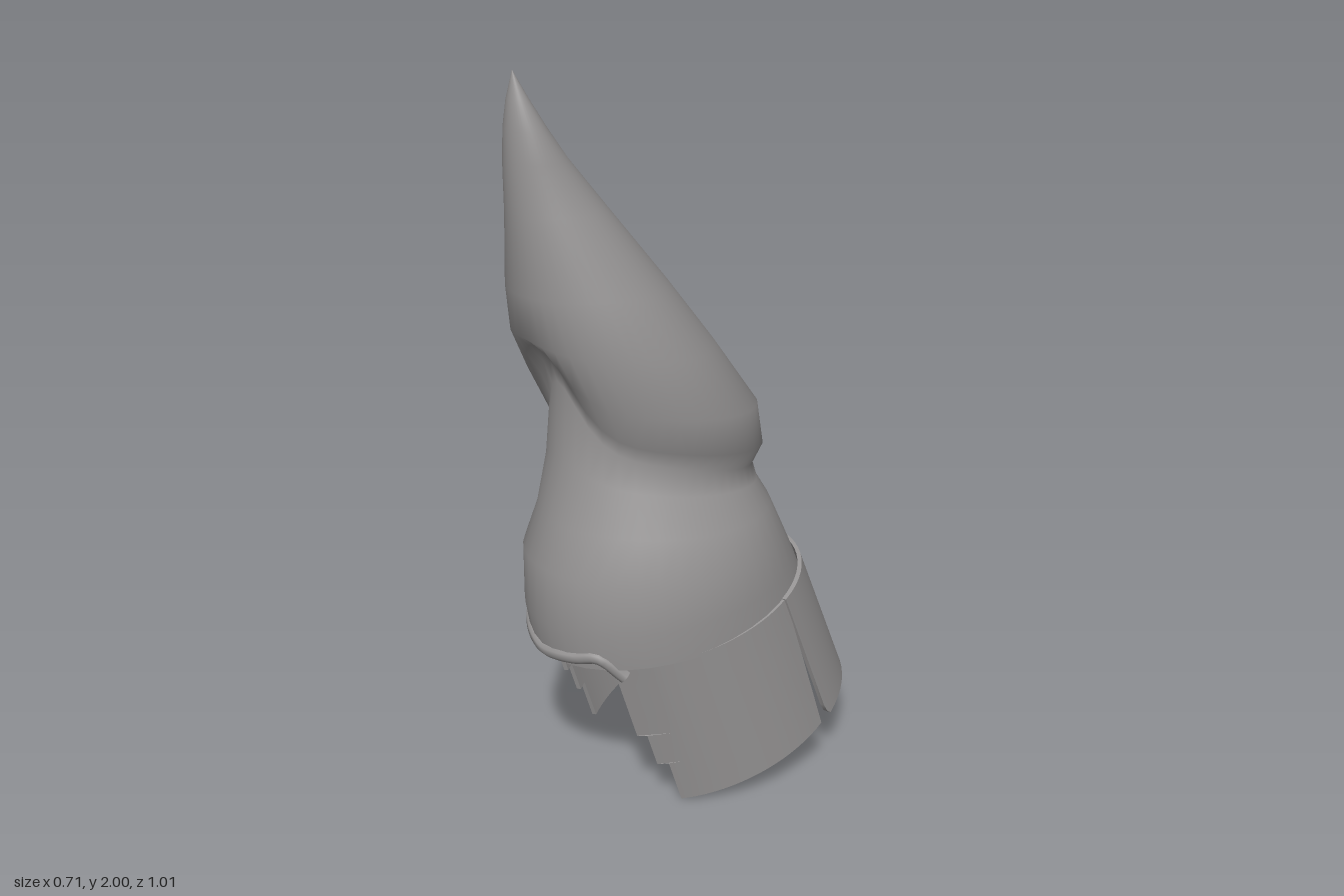
import * as THREE from 'three';
import { toCreasedNormals } from 'three/addons/utils/BufferGeometryUtils.js';

const RAD = Math.PI / 180;
const lerp = THREE.MathUtils.lerp;

// Skin a stack of closed loops, listed from bottom to top
function loft(loops) {
  const n = loops[0].length;
  const pos = loops.flat().flatMap((p) => [p.x, p.y, p.z]);
  const index = [];
  for (let r = 0; r < loops.length - 1; r++) {
    for (let i = 0; i < n; i++) {
      const j = (i + 1) % n;
      const a = r * n + i, b = r * n + j, c = b + n, d = a + n;
      index.push(a, b, c, a, c, d);
    }
  }
  const geo = new THREE.BufferGeometry();
  geo.setAttribute('position', new THREE.Float32BufferAttribute(pos, 3));
  geo.setIndex(index);
  geo.computeVertexNormals();
  return geo;
}

// Point on a tilted oval; angle 0 is the front, growing toward +x.
// ring = [front y, front z, back y, back z, half width, front peak, sideways shift]
function ovalPoint([yf, zf, yb, zb, w, peak = 0, shift = 0], a, grow = 0) {
  const c = Math.cos(a), t = (1 - c) / 2;
  return new THREE.Vector3(
    (w + grow) * Math.sin(a) + shift,
    lerp(yf, yb, t) + peak * Math.max(0, c) ** 8,
    lerp(zf, zb, t) + grow * c
  );
}

// Hood: bulging crown, pinched neck, then a folded cone leaning forward
const HOOD = [
  [0.435, 0.448, 0.56, -0.345, 0.338],
  [0.54, 0.465, 0.63, -0.315, 0.338],
  [0.70, 0.463, 0.70, -0.28, 0.332],
  [0.82, 0.42, 0.79, -0.24, 0.295],
  [0.95, 0.395, 0.85, -0.205, 0.25, 0.05],
  [1.04, 0.38, 0.885, -0.20, 0.226, 0.16, -0.005],
  [1.08, 0.395, 0.945, -0.23, 0.265, 0.18, -0.015],
  [1.17, 0.43, 1.07, -0.208, 0.288, 0.13, -0.022],
  [1.31, 0.472, 1.26, -0.07, 0.262, 0.02, -0.018],
  [1.45, 0.492, 1.44, 0.07, 0.21, 0, -0.01],
  [1.65, 0.503, 1.65, 0.24, 0.118],
  [1.78, 0.505, 1.78, 0.345, 0.085],
  [1.86, 0.502, 1.86, 0.40, 0.064],
  [1.93, 0.495, 1.93, 0.442, 0.034],
  [2.0, 0.48, 2.0, 0.48, 0.0],
];

// Band below the hood, given by its top and bottom ovals
const BAND_TOP = [0.43, 0.42, 0.6, -0.335, 0.337, 0, 0];
const BAND_BOTTOM = [-0.035, 0.28, 0.21, -0.495, 0.35, 0, -0.005];

function bandPoint(v, a, grow) {
  return ovalPoint(BAND_TOP.map((t, i) => lerp(t, BAND_BOTTOM[i], v)), a, grow);
}

// Thin curved plate of the band; columns(v, row) gives its angles in degrees
function bandPlate(rows, columns, outer, thickness = 0.012) {
  const loops = rows.map((v, r) => {
    const angles = columns(v, r);
    const side = (grow) => angles.map((a) => bandPoint(v, a * RAD, grow));
    return [...side(outer), ...side(outer - thickness).reverse()];
  });
  // Close the lower and upper edges
  const collapse = (loop) => loop.map((p, i) => loop[Math.min(i, loop.length - 1 - i)].clone());
  const all = [collapse(loops[0]), ...loops, collapse(loops[loops.length - 1])];
  return toCreasedNormals(loft(all), 0.7);
}

const spread = (a, b, n) => Array.from({ length: n + 1 }, (_, i) => lerp(a, b, i / n));

export function createModel() {
  const model = new THREE.Group();
  model.name = 'foldedCap';
  const cap = new THREE.Group();
  cap.name = 'cap';
  cap.rotation.y = -0.135;
  model.add(cap);

  const grey = new THREE.MeshStandardMaterial({ color: 0x989696, side: THREE.DoubleSide });
  grey.name = 'warm grey';
  const add = (name, geo) => {
    const mesh = new THREE.Mesh(geo, grey);
    mesh.name = name;
    cap.add(mesh);
  };

  // Hood
  const segments = 40;
  add('hood', loft(HOOD.map((ring) => Array.from({ length: segments },
    (_, i) => ovalPoint(ring, (i / segments) * Math.PI * 2)))));

  // Rounded lip sunk into the brow: dips in the middle, turns down at the ends
  const browPoints = spread(-44, 44, 8).map((a) => {
    const s = Math.abs(a) / 44;
    const p = ovalPoint(HOOD[0], a * RAD, s > 0.9 ? -0.022 : -0.006);
    p.y += s > 0.9 ? -0.03 : 0.012 + 0.03 * s;
    return p;
  });
  add('browLip', new THREE.TubeGeometry(new THREE.CatmullRomCurve3(browPoints), 32, 0.02, 8));

  // Cheek guards: stepped front edge, rear edge tapering away from the slit
  const cheekRows = [1, 0.86, 0.72, 0.719, 0.5, 0.499, 0.25, 0.14, 0];
  const cheekColumns = (steps) => (v, r) => [
    r < 3 ? steps[0] : r < 5 ? steps[1] : steps[2],
    ...spread(52, 118.8 - 4.5 * Math.max(0, (v - 0.14) / 0.86), 16),
  ];
  const left = cheekColumns([46, 41, 36.5]);
  const right = cheekColumns([49, 44, 38.5]);
  add('leftCheekGuard', bandPlate(cheekRows, left, 0.004));
  add('rightCheekGuard', bandPlate(cheekRows, (v, r) => right(v, r).map((a) => -a).reverse(), 0.004));

  // Neck guard: slightly proud of the hood, lower corners eased
  const neckInset = (v) => (v > 0.99 ? 2.5 : v > 0.95 ? 0.7 : 0);
  add('neckGuard', bandPlate([1, 0.96, 0.9, 0.6, 0.3, -0.01],
    (v) => spread(118.5 + neckInset(v), 241.5 - neckInset(v), 24), 0.01));

  return model;
}
